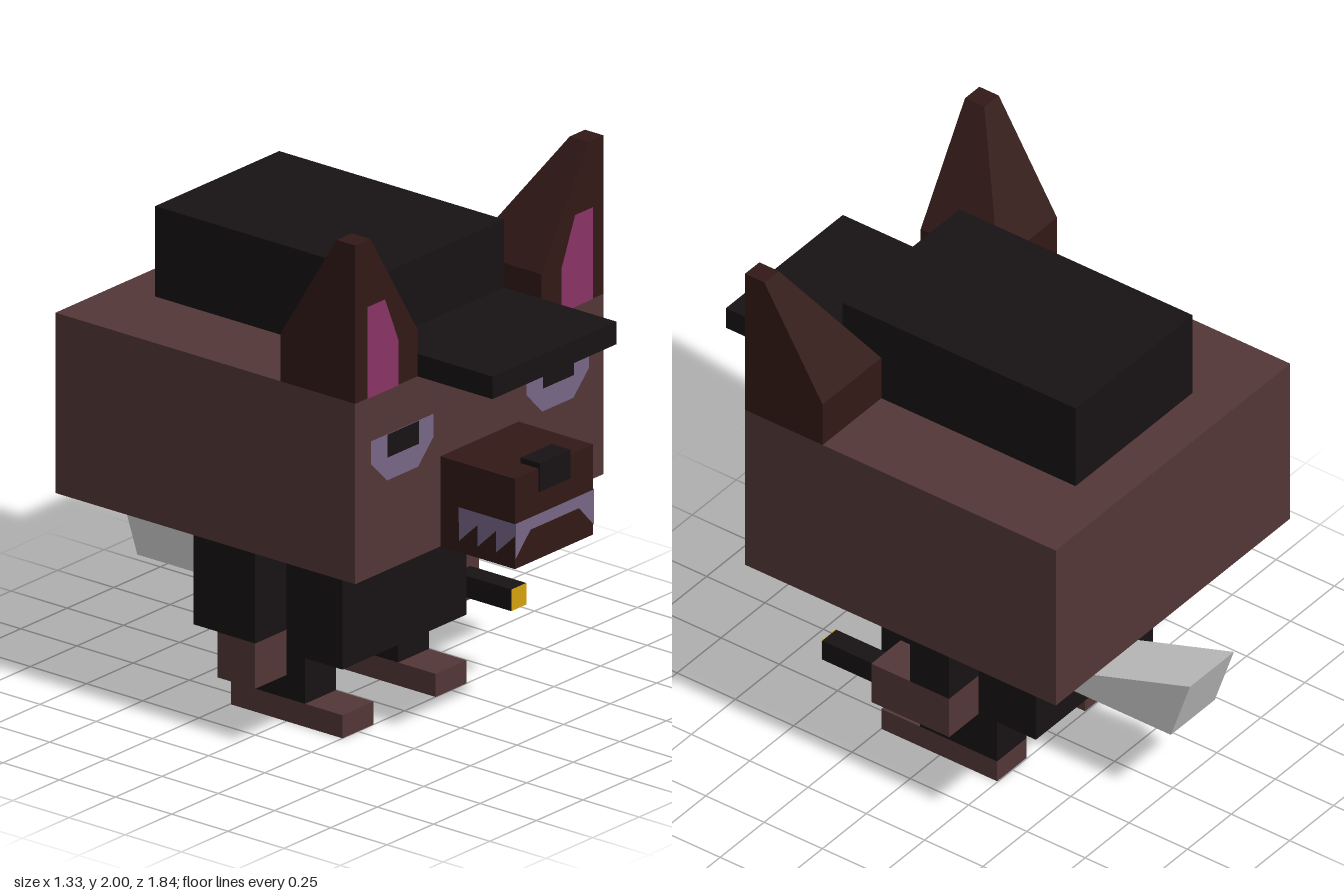
import * as THREE from 'three';
import { ConvexGeometry } from 'three/addons/geometries/ConvexGeometry.js';

const mat = (color, side = THREE.FrontSide) => new THREE.MeshStandardMaterial({ color, side, flatShading: true });
const C = { fur: 0x543737, dark: 0x321917, cloth: 0x181214, pink: 0x8a3366, pale: 0x786687, gold: 0xd6a30e, grey: 0xcccccc };

export function createModel() {
  const root = new THREE.Group();

  const add = (name, geometry, color, side) => {
    const mesh = new THREE.Mesh(geometry, mat(color, side));
    mesh.name = name;
    root.add(mesh);
    return mesh;
  };
  // Box given by its limits on each axis
  const box = (name, color, [x0, x1], [y0, y1], [z0, z1]) => {
    const mesh = add(name, new THREE.BoxGeometry(x1 - x0, y1 - y0, z1 - z0), color);
    mesh.position.set((x0 + x1) / 2, (y0 + y1) / 2, (z0 + z1) / 2);
    return mesh;
  };
  // Flat marking facing the front, at depth z
  const marking = (name, color, points, z) => {
    const shape = new THREE.Shape(points.map(([x, y]) => new THREE.Vector2(x, y)));
    const mesh = add(name, new THREE.ShapeGeometry(shape), color, THREE.DoubleSide);
    mesh.position.z = z;
    return mesh;
  };
  const solid = (name, color, points) =>
    add(name, new ConvexGeometry(points.map((p) => new THREE.Vector3(...p))), color);

  // Head, snout and nose
  box('head', C.fur, [-0.667, 0.667], [0.753, 1.417], [-0.75, 0.583]);
  box('snout', C.dark, [-0.21, 0.21], [0.753, 1.085], [0.583, 0.915]);
  box('nose', C.cloth, [-0.083, 0.083], [1.0, 1.105], [0.835, 0.92]);

  // Hat
  box('hatCrown', C.cloth, [-0.333, 0.333], [1.417, 1.75], [-0.583, 0.417]);
  box('hatBrim', C.cloth, [-0.333, 0.333], [1.417, 1.5], [0.417, 0.917]);

  // Teeth across the front of the snout
  marking('frontTeeth', C.pale,
    [[-0.21, 0.79], [-0.13, 0.875], [0.13, 0.875], [0.21, 0.79], [0.21, 0.92], [-0.21, 0.92]], 0.918);

  for (const s of [1, -1]) {
    const side = s > 0 ? 'left' : 'right';
    const mirror = (points) => points.map(([x, ...rest]) => [s * x, ...rest]);

    // Ear: upright base tapering to the outer front corner
    const ear = [];
    for (const [x, y, z] of [[0.333, 1.417, 0.25], [0.333, 1.59, 0.25], [0.585, 2, 0.5]]) {
      ear.push([x, y, z], [0.667, y, z], [x, y, 0.583], [0.667, y, 0.583]);
    }
    solid(side + 'Ear', C.dark, mirror(ear));
    marking(side + 'InnerEar', C.pink,
      mirror([[0.605, 1.417], [0.605, 1.755], [0.51, 1.755], [0.437, 1.58], [0.437, 1.417]]), 0.586);

    // Eye
    marking(side + 'Eye', C.pale,
      mirror([[0.25, 1.255], [0.585, 1.255], [0.585, 1.17], [0.5, 1.085], [0.333, 1.085], [0.25, 1.17]]), 0.586);
    marking(side + 'Pupil', C.cloth,
      mirror([[0.333, 1.17], [0.5, 1.17], [0.5, 1.255], [0.333, 1.255]]), 0.589);

    // Saw teeth along the side of the snout, drawn in -z and turned to face sideways
    const saw = [[-0.667, 0.92], [-0.917, 0.92], [-0.917, 0.875]];
    for (let i = 0; i < 3; i++) {
      const z = -0.917 + (i + 1) * 0.083;
      saw.push([z, 0.795]);
      if (i < 2) saw.push([z, 0.875]);
    }
    const teeth = marking(side + 'SideTeeth', C.pale, saw, 0);
    teeth.rotation.y = Math.PI / 2;
    teeth.position.x = s * 0.213;

    // Leg and foot
    const across = s > 0 ? [0.167, 0.333] : [-0.333, -0.167];
    box(side + 'Leg', C.cloth, across, [0.085, 0.253], [-0.247, 0.083]);
    box(side + 'Foot', C.fur, across, [0, 0.085], [-0.247, 0.25]);
  }

  // Body with a pale throat patch
  box('body', C.cloth, [-0.333, 0.333], [0.253, 0.753], [-0.413, 0.25]);
  marking('throatPatch', C.pale, [[-0.085, 0.753], [0, 0.587], [0.085, 0.753]], 0.253);

  // Right arm hangs straight
  box('rightSleeve', C.cloth, [-0.5, -0.333], [0.337, 0.667], [-0.167, 0]);
  box('rightHand', C.fur, [-0.5, -0.333], [0.17, 0.337], [-0.167, 0]);

  // Left arm is bent forward and holds a short rod with a bright tip
  box('leftSleeve', C.cloth, [0.333, 0.5], [0.417, 0.667], [-0.167, 0]);
  box('leftForearm', C.fur, [0.333, 0.5], [0.253, 0.417], [-0.167, 0.167]);
  box('rod', C.cloth, [0.373, 0.453], [0.295, 0.375], [0.167, 0.413]);
  marking('rodTip', C.gold, [[0.373, 0.295], [0.453, 0.295], [0.453, 0.375], [0.373, 0.375]], 0.416);

  // Tail widening towards its end
  const tail = [];
  for (const [y, z] of [[0.417, -0.413], [0.583, -0.917], [0.34, -0.835], [0.34, -0.413]]) {
    tail.push([-0.125, y, z], [0.125, y, z]);
  }
  solid('tail', C.grey, tail);

  return root;
}
